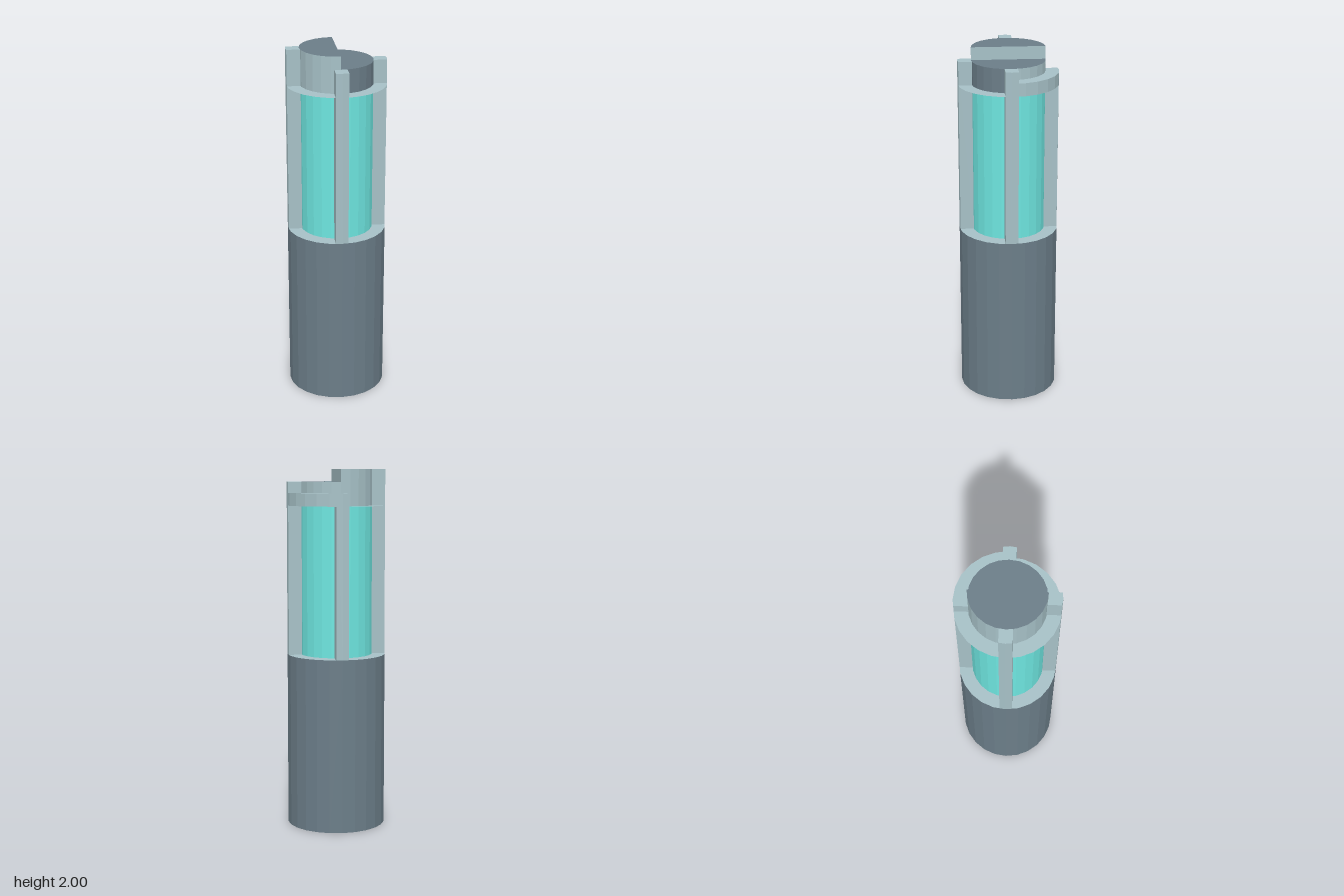
import * as THREE from 'three';

const R = 0.275, r = 0.201;            // outer and core radius
const BASE = 0.97, CORE = 1.8, LOW = 1.93, HIGH = 2;
const rad = THREE.MathUtils.degToRad;

const paint = (color) => new THREE.MeshStandardMaterial({ color, flatShading: true, side: THREE.DoubleSide });

export function createModel() {
  const model = new THREE.Group();
  const dark = paint(0x6b7d88), light = paint(0xa6c0c6), cyan = paint(0x6ee6e0);

  const add = (name, geometry, material) => {
    const mesh = new THREE.Mesh(geometry, material);
    mesh.name = name;
    model.add(mesh);
    return mesh;
  };
  // open wall of a 24-sided cylinder, angles in degrees from +z towards +x
  const wall = (name, radius, y0, y1, start, sweep, material) =>
    add(name, new THREE.CylinderGeometry(radius, radius, y1 - y0, sweep / 15, 1, true, rad(start), rad(sweep))
      .translate(0, (y0 + y1) / 2, 0), material);
  // flat ring or disc sector
  const flat = (name, inner, outer, y, start, sweep, material) => {
    const g = inner > 0
      ? new THREE.RingGeometry(inner, outer, sweep / 15, 1, rad(start - 90), rad(sweep))
      : new THREE.CircleGeometry(outer, sweep / 15, rad(start - 90), rad(sweep));
    return add(name, g.rotateX(-Math.PI / 2).translate(0, y, 0), material);
  };
  // plan outline of [x, z] points raised from y0 to y1
  const prism = (points, y0, y1) => new THREE.ExtrudeGeometry(
    new THREE.Shape(points.map(([x, z]) => new THREE.Vector2(x, -z))),
    { depth: y1 - y0, bevelEnabled: false }).rotateX(-Math.PI / 2).translate(0, y0, 0);

  // handle body
  wall('body', R, 0, BASE, 0, 360, dark);
  flat('bodyBottom', 0, R, 0, 0, 360, dark).geometry.scale(1, 1, -1).rotateZ(Math.PI);
  flat('bodyShoulder', r, R, BASE, 0, 360, light);

  // glowing core
  wall('core', r, BASE, CORE, 0, 360, cyan);

  // thin collar, thickened between the right-hand and back posts
  flat('collar', r, R, CORE, 195, 270, light);
  const outer = [], inner = [];
  for (let a = 105; a <= 195; a += 15) {
    const s = Math.sin(rad(a)), c = Math.cos(rad(a));
    outer.push([R * s, R * c]);
    inner.unshift([r * s, r * c]);
  }
  add('thickCollar', prism([...outer, ...inner], CORE, 1.87), light);

  // four posts of differing height
  const h = 0.035;
  const plan = [[-h, 0.1965], [0, r], [h, 0.1965], [h, 0.2704], [0, R], [-h, 0.2704]];
  [['frontPost', 15, LOW], ['leftPost', 105, LOW], ['backPost', 195, 1.87], ['rightPost', 285, HIGH]]
    .forEach(([name, angle, top]) => add(name, prism(plan, BASE, top).rotateY(rad(angle)), light));

  // stepped cap: low half and high half
  wall('lowCapFront', r, CORE, LOW, 15, 90, dark);
  wall('lowCapBack', r, CORE, LOW, 105, 90, light);
  flat('lowCapTop', 0, r, LOW, 15, 180, dark);
  wall('highCap', r, CORE, HIGH, 195, 180, light);
  flat('highCapTop', 0, r, HIGH, 195, 180, dark);
  add('capStep', new THREE.PlaneGeometry(2 * r, HIGH - LOW)
    .rotateY(rad(105)).translate(0, (HIGH + LOW) / 2, 0), light);

  return model;
}
